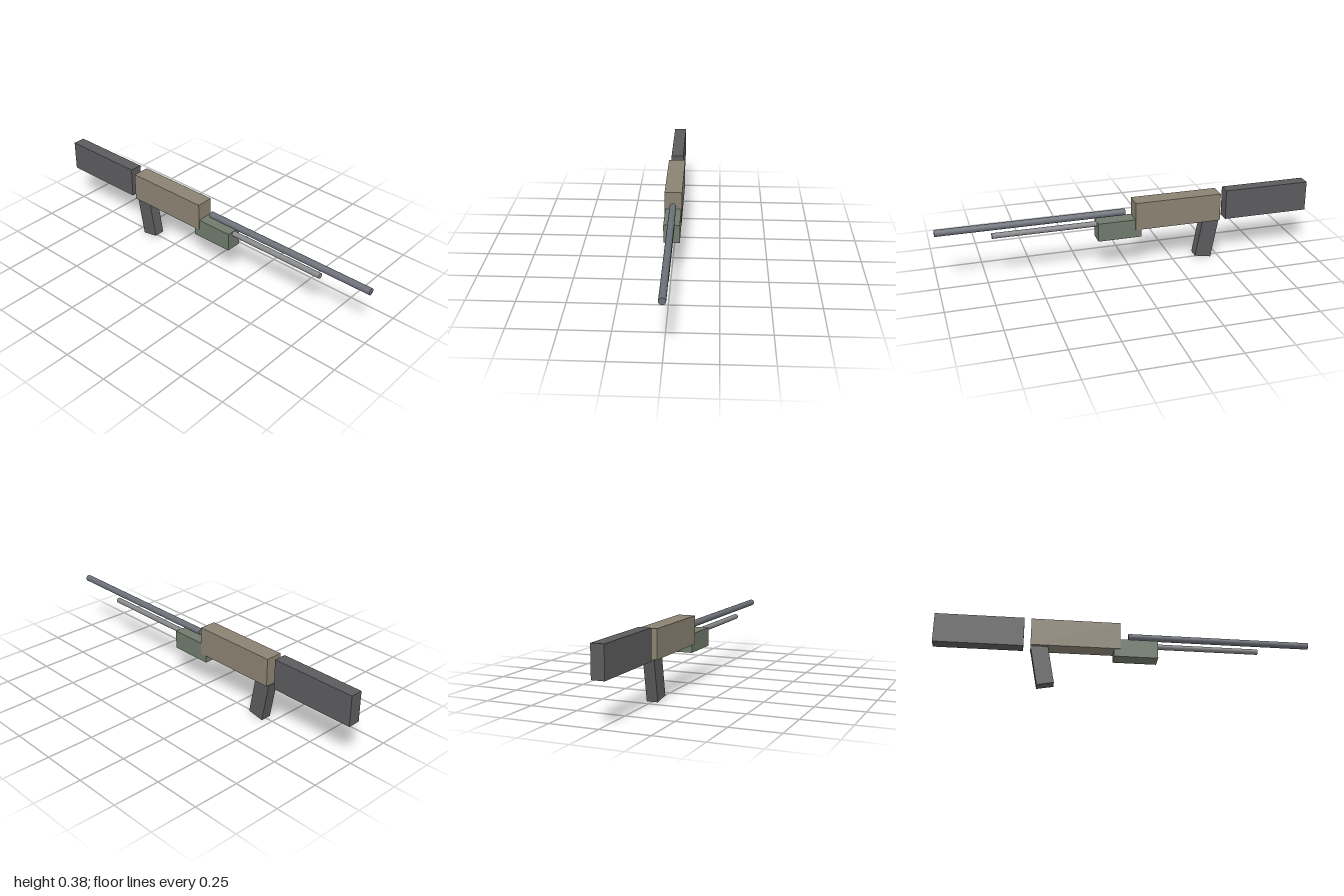
import * as THREE from 'three';

export function createModel() {
  const model = new THREE.Group();

  const add = (name, geometry, color, x, y) => {
    const mesh = new THREE.Mesh(geometry, new THREE.MeshStandardMaterial({ color }));
    mesh.name = name;
    mesh.position.set(x, y, 0);
    model.add(mesh);
    return mesh;
  };

  // Box given by its extents in x and y and its full depth
  const block = (name, x0, x1, y0, y1, depth, color) =>
    add(name, new THREE.BoxGeometry(x1 - x0, y1 - y0, depth), color, (x0 + x1) / 2, (y0 + y1) / 2);

  // Round rod lying along x
  const rod = (name, x0, x1, y, radius, color) =>
    add(name, new THREE.CylinderGeometry(radius, radius, x1 - x0, 16).rotateZ(-Math.PI / 2), color, (x0 + x1) / 2, y);

  // Body
  block('stock', -1, -0.533, 0.215, 0.377, 0.067, 0x5c5c5e);
  block('receiver', -0.496, -0.027, 0.218, 0.368, 0.092, 0x8b8272);
  block('forend', -0.06, 0.173, 0.176, 0.275, 0.084, 0x6f7a6c);

  // Slanted grip
  const grip = add('grip', new THREE.BoxGeometry(0.09, 0.221, 0.059), 0x5c5c5e, -0.432, 0.117);
  grip.rotation.z = 0.18;

  // Tubes
  rod('barrel', 0.02, 1, 0.31, 0.0175, 0x6c7078);
  rod('lowerTube', 0.15, 0.717, 0.26, 0.0145, 0x8a8a8e);

  return model;
}
